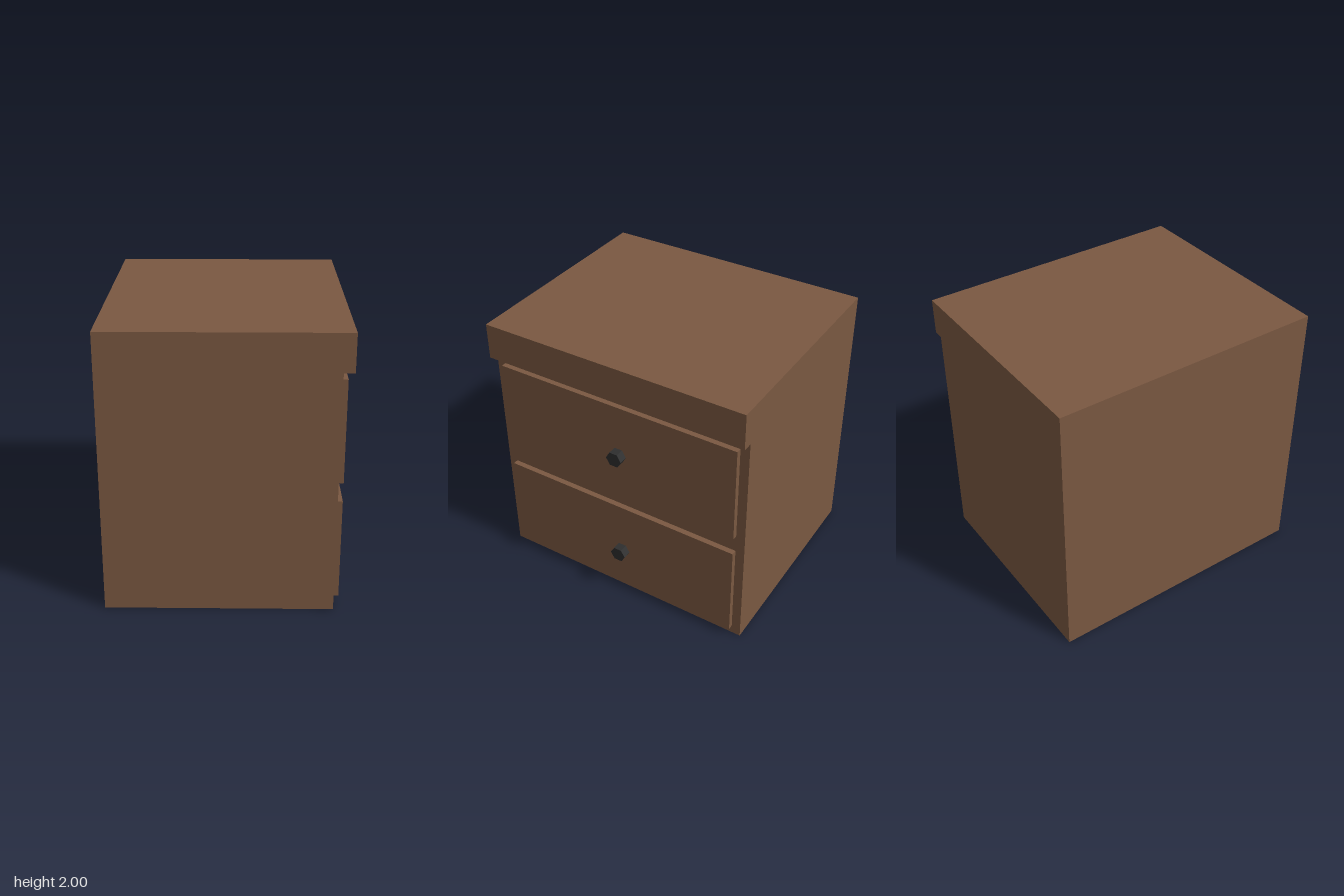
import * as THREE from 'three';

export function createModel() {
  const group = new THREE.Group();
  group.name = 'nightstand';

  const wood = new THREE.MeshStandardMaterial({ color: 0x7a5841 });
  wood.name = 'brown wood';
  const iron = new THREE.MeshStandardMaterial({ color: 0x2e2e2e, flatShading: true });
  iron.name = 'dark iron';

  // Box given by its x, y and z extents
  function addBox(name, [x0, x1], [y0, y1], [z0, z1]) {
    const mesh = new THREE.Mesh(new THREE.BoxGeometry(x1 - x0, y1 - y0, z1 - z0), wood);
    mesh.position.set((x0 + x1) / 2, (y0 + y1) / 2, (z0 + z1) / 2);
    mesh.name = name;
    group.add(mesh);
  }

  // Cabinet body with an overhanging top slab on the drawer side
  addBox('cabinetBody', [-0.845, 0.74], [0, 1.735], [-1, 1]);
  addBox('topSlab', [-0.845, 0.815], [1.735, 2], [-1, 1]);

  // Two drawers, each with a hexagonal knob
  const drawers = [
    { name: 'lower', y: [0.067, 0.802], knobY: 0.396 },
    { name: 'upper', y: [0.936, 1.671], knobY: 1.275 },
  ];
  const knobGeometry = new THREE.CylinderGeometry(0.06, 0.06, 0.065, 6);
  knobGeometry.rotateZ(-Math.PI / 2);

  for (const { name, y, knobY } of drawers) {
    addBox(name + 'DrawerFront', [0.735, 0.78], y, [-0.933, 0.933]);
    const knob = new THREE.Mesh(knobGeometry, iron);
    knob.position.set(0.8105, knobY, -0.03);
    knob.name = name + 'DrawerKnob';
    group.add(knob);
  }

  return group;
}
